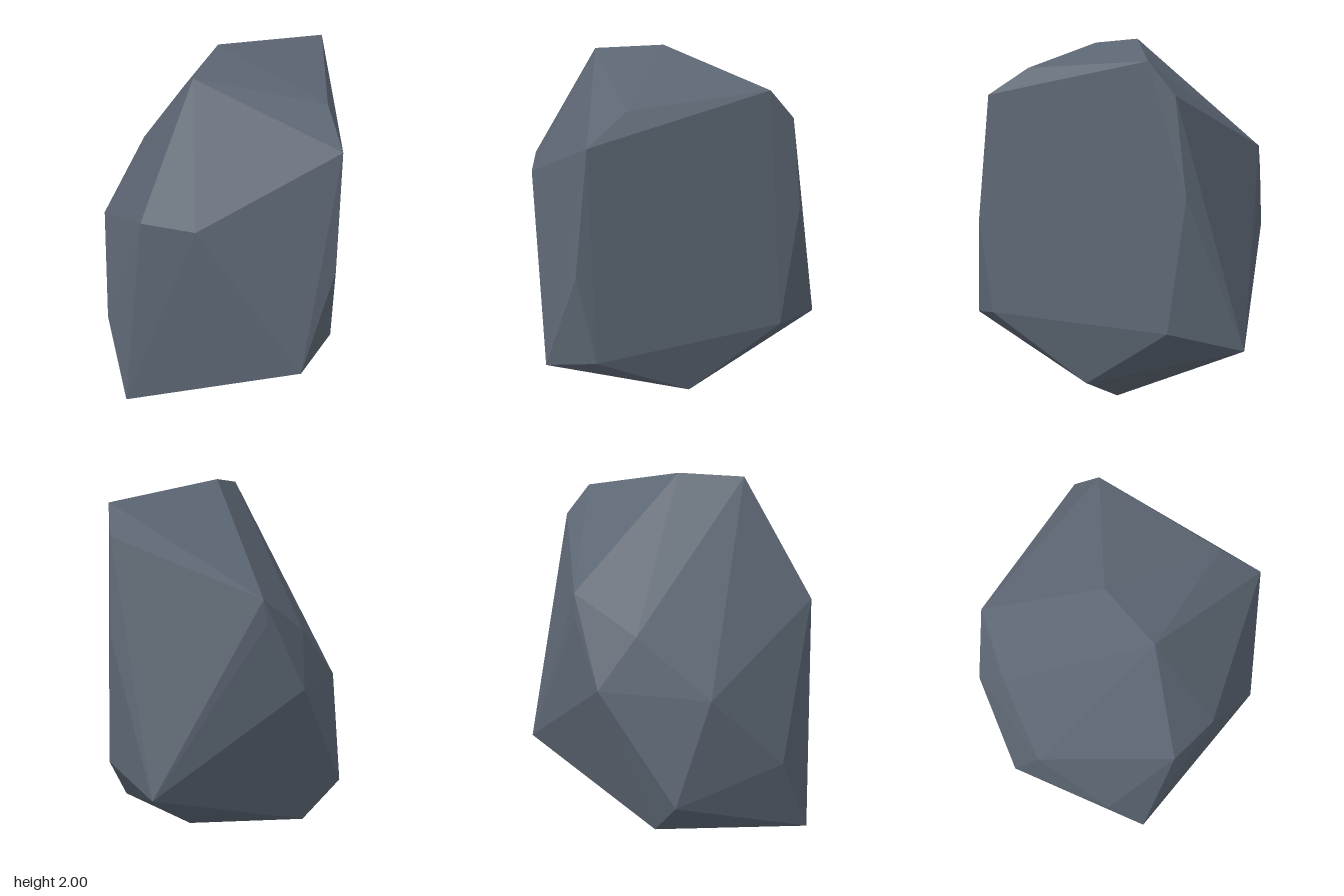
import * as THREE from 'three';
import { ConvexGeometry } from 'three/addons/geometries/ConvexGeometry.js';

export function createModel() {
  const group = new THREE.Group();
  group.name = 'rock';
  const stone = new THREE.MeshStandardMaterial({ color: 0x5c6673 });
  stone.name = 'slate grey';

  // Corners of the chiselled boulder, from the crown down to the foot
  const crown = [[-0.10, 1.98, 0.32], [0.03, 2.0, -0.01], [0.605, 1.89, -0.35], [0.55, 1.85, 0.36]];
  const shoulder = [
    [0.605, 1.71, 0.575], [0.595, 1.73, -0.49], [-0.15, 1.43, -0.655], [-0.165, 1.30, -0.66],
    [-0.39, 1.23, -0.40], [-0.37, 1.34, 0.61], [-0.10, 1.34, 0.695],
  ];
  const waist = [[0.61, 1.05, 0.655], [0.605, 1.24, -0.555], [-0.37, 0.96, -0.605], [-0.62, 0.92, -0.08]];
  const skirt = [
    [0.45, 0.47, 0.795], [0.63, 0.54, 0.57], [0.63, 0.56, -0.47], [0.41, 0.455, -0.795],
    [-0.63, 0.36, -0.28], [-0.60, 0.50, 0.35],
  ];
  const foot = [[0.56, 0.20, 0.03], [0.19, 0, 0.04], [-0.51, 0.05, 0.56], [-0.42, 0.15, -0.32]];

  const points = [...crown, ...shoulder, ...waist, ...skirt, ...foot].map((p) => new THREE.Vector3(...p));
  const boulder = new THREE.Mesh(new ConvexGeometry(points), stone);
  boulder.name = 'boulder';
  group.add(boulder);
  return group;
}
